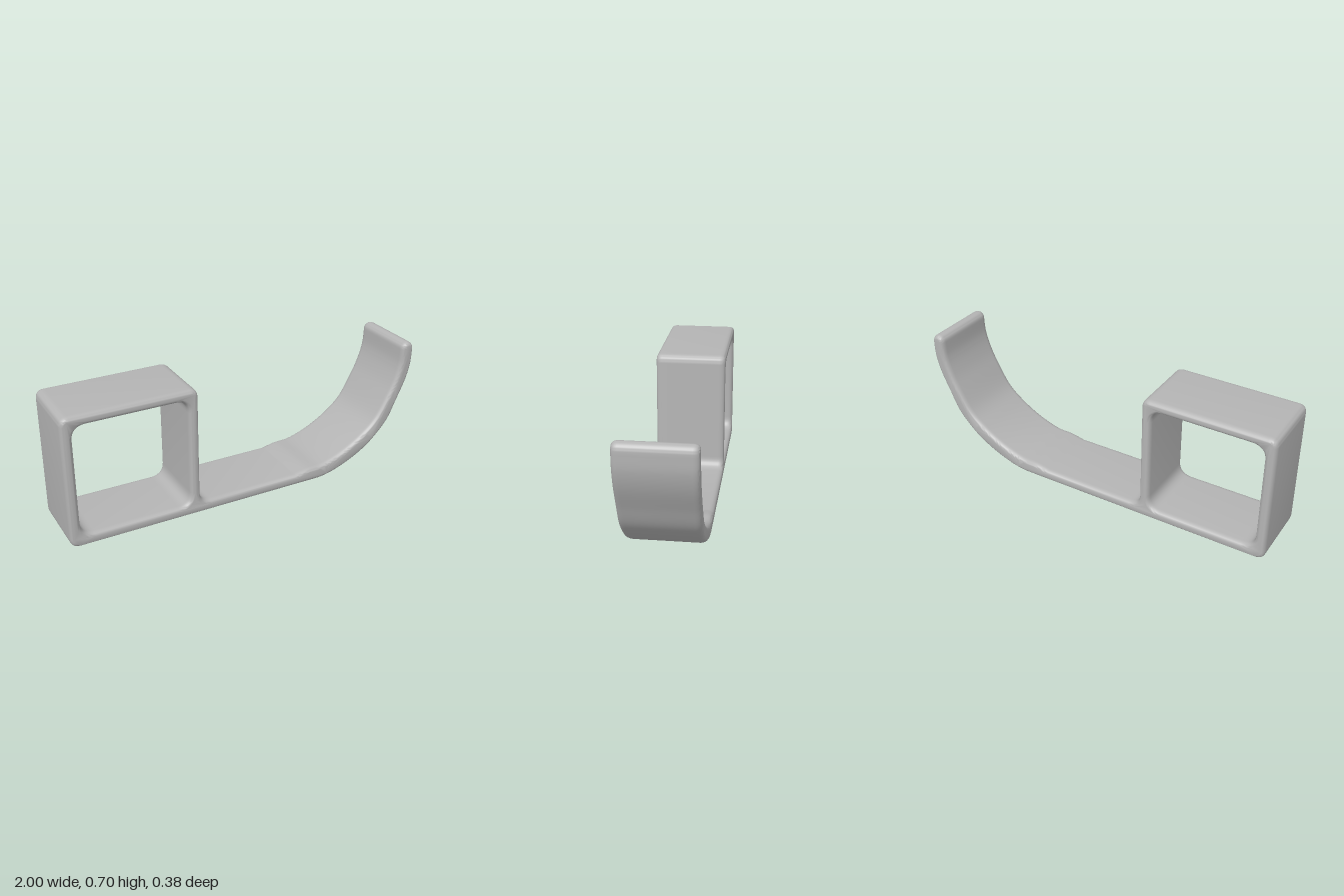
import * as THREE from 'three';
import { toCreasedNormals } from 'three/addons/utils/BufferGeometryUtils.js';

const pts = (list) => list.map(([x, y]) => new THREE.Vector2(x, y));

// Rectangular opening with rounded corners
function roundedOpening(x0, y0, x1, y1, r) {
  const p = new THREE.Path();
  p.moveTo(x0 + r, y0);
  p.lineTo(x1 - r, y0);
  p.quadraticCurveTo(x1, y0, x1, y0 + r);
  p.lineTo(x1, y1 - r);
  p.quadraticCurveTo(x1, y1, x1 - r, y1);
  p.lineTo(x0 + r, y1);
  p.quadraticCurveTo(x0, y1, x0, y1 - r);
  p.lineTo(x0, y0 + r);
  p.quadraticCurveTo(x0, y0, x0 + r, y0);
  return p;
}

// Side outline: square loop, flat strip and upswept hook
function hookProfile() {
  const s = new THREE.Shape();
  s.moveTo(-0.95, 0);
  s.lineTo(0.42, 0);
  // underside of the hook
  s.splineThru(pts([[0.5, 0.014], [0.6, 0.05], [0.68, 0.09], [0.76, 0.145], [0.86, 0.25],
    [0.92, 0.37], [0.97, 0.48], [0.995, 0.57], [1, 0.65]]));
  // rounded tip
  s.absarc(0.964, 0.664, 0.036, 0, Math.PI, false);
  // inner side of the hook, ending in a slight swell on the strip
  s.splineThru(pts([[0.922, 0.58], [0.9, 0.5], [0.86, 0.41], [0.78, 0.275], [0.69, 0.195],
    [0.59, 0.135], [0.5, 0.098], [0.43, 0.08], [0.35, 0.076], [0.27, 0.06]]));
  // strip top, fillet and loop
  s.lineTo(-0.24, 0.06);
  s.quadraticCurveTo(-0.3, 0.06, -0.3, 0.12);
  s.lineTo(-0.3, 0.66);
  s.quadraticCurveTo(-0.3, 0.705, -0.345, 0.705);
  s.lineTo(-0.955, 0.705);
  s.quadraticCurveTo(-1, 0.705, -1, 0.66);
  s.lineTo(-1, 0.05);
  s.quadraticCurveTo(-1, 0, -0.95, 0);
  s.holes.push(roundedOpening(-0.943, 0.06, -0.353, 0.65, 0.07));
  return s;
}

export function createModel() {
  const group = new THREE.Group();
  group.name = 'hookBracket';
  const grey = new THREE.MeshStandardMaterial({ color: 0xb4b4b4 });
  grey.name = 'grey';

  // One band with softly rounded long edges
  const bevel = 0.03, depth = 0.38 - 2 * bevel;
  const geometry = new THREE.ExtrudeGeometry(hookProfile(), {
    depth, curveSegments: 8, bevelEnabled: true, bevelThickness: bevel,
    bevelSize: 0.02, bevelOffset: -0.02, bevelSegments: 5,
  });
  geometry.translate(0, 0, -depth / 2);
  const band = new THREE.Mesh(toCreasedNormals(geometry, Math.PI / 3), grey);
  band.name = 'hookBand';
  group.add(band);
  return group;
}
